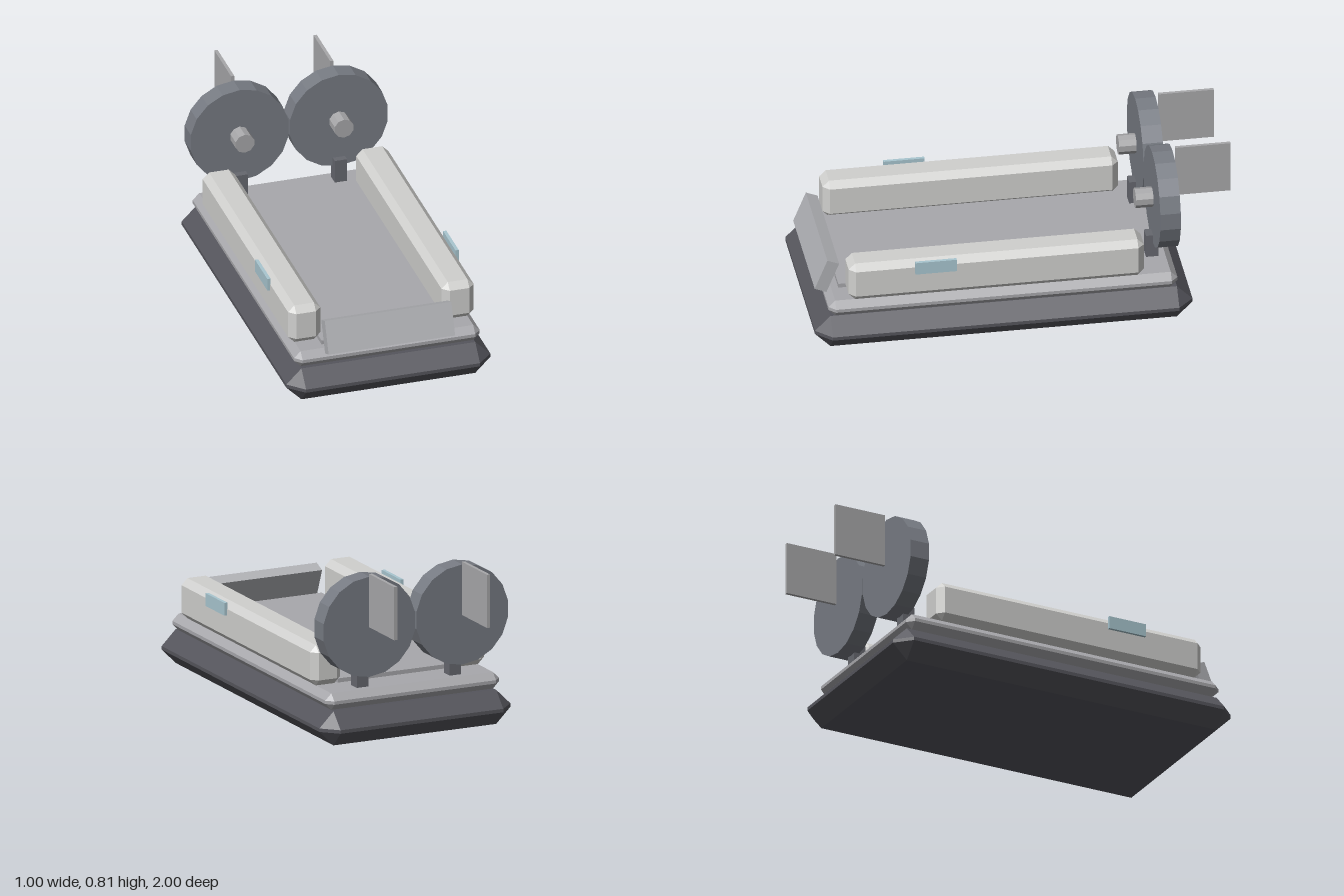
import * as THREE from 'three';
import { ConvexGeometry } from 'three/addons/geometries/ConvexGeometry.js';

const mat = (name, color) => {
  const m = new THREE.MeshStandardMaterial({ color });
  m.name = name;
  return m;
};

// Box with flat chamfers on every edge, centred on the origin
function chamferBox(w, h, d, c) {
  const points = [];
  for (const sx of [-1, 1]) for (const sy of [-1, 1]) for (const sz of [-1, 1]) {
    const x = w / 2, y = h / 2, z = d / 2;
    points.push(
      new THREE.Vector3(sx * x, sy * (y - c), sz * (z - c)),
      new THREE.Vector3(sx * (x - c), sy * y, sz * (z - c)),
      new THREE.Vector3(sx * (x - c), sy * (y - c), sz * z));
  }
  return new ConvexGeometry(points);
}

// Many-sided drum lying along z, with a corner at the top
const drum = (radius, length, sides) =>
  new THREE.CylinderGeometry(radius, radius, length, sides).rotateX(Math.PI / 2).toNonIndexed();

export function createModel() {
  const group = new THREE.Group();
  group.name = 'hovercraft';
  const rubber = mat('dark rubber', 0x55555c);
  const deckGrey = mat('deck grey', 0xa8a8ac);
  const paleGrey = mat('pale grey', 0xd0d0ce);
  const rampGrey = mat('ramp grey', 0xb0b1b5);
  const fanGrey = mat('fan grey', 0x777b83);
  const metal = mat('metal', 0xa8a8aa);
  const strutGrey = mat('strut grey', 0x66686f);
  const glass = mat('blue glass', 0xa9c6d0);

  const add = (name, geometry, material, x, y, z) => {
    if (geometry.type !== 'BoxGeometry') geometry.computeVertexNormals();
    const mesh = new THREE.Mesh(geometry, material);
    mesh.name = name;
    mesh.position.set(x, y, z);
    group.add(mesh);
    return mesh;
  };
  const box = (w, h, d) => new THREE.BoxGeometry(w, h, d);

  // Hull
  add('skirt', chamferBox(1.0, 0.165, 1.79, 0.074), rubber, 0, 0.0825, 0.105);
  add('deck', chamferBox(0.91, 0.08, 1.655, 0.032), deckGrey, 0, 0.205, 0.108);
  add('cargoFloor', box(0.62, 0.02, 1.4), deckGrey, 0, 0.255, 0.17);

  // Bow ramp, leaning back
  add('bowRamp', box(0.62, 0.16, 0.06), rampGrey, 0, 0.312, 0.924).rotation.x = -0.385;

  for (const [side, s] of [['left', 1], ['right', -1]]) {
    // Side structure with window
    add(side + 'SideHouse', chamferBox(0.158, 0.195, 1.4, 0.031), paleGrey, s * 0.376, 0.3425, 0.14);
    add(side + 'Window', box(0.016, 0.062, 0.195), glass, s * 0.461, 0.409, 0.432);

    // Fan assembly at the stern
    add(side + 'FanStrut', box(0.06, 0.115, 0.06), strutGrey, s * 0.243, 0.3025, -0.625);
    add(side + 'Fan', drum(0.243, 0.097, 18), fanGrey, s * 0.243, 0.555, -0.677);
    add(side + 'FanHub', drum(0.048, 0.085, 10), metal, s * 0.243, 0.555, -0.588);
    add(side + 'Rudder', box(0.016, 0.258, 0.262), metal, s * 0.243, 0.686, -0.869);
  }
  return group;
}
